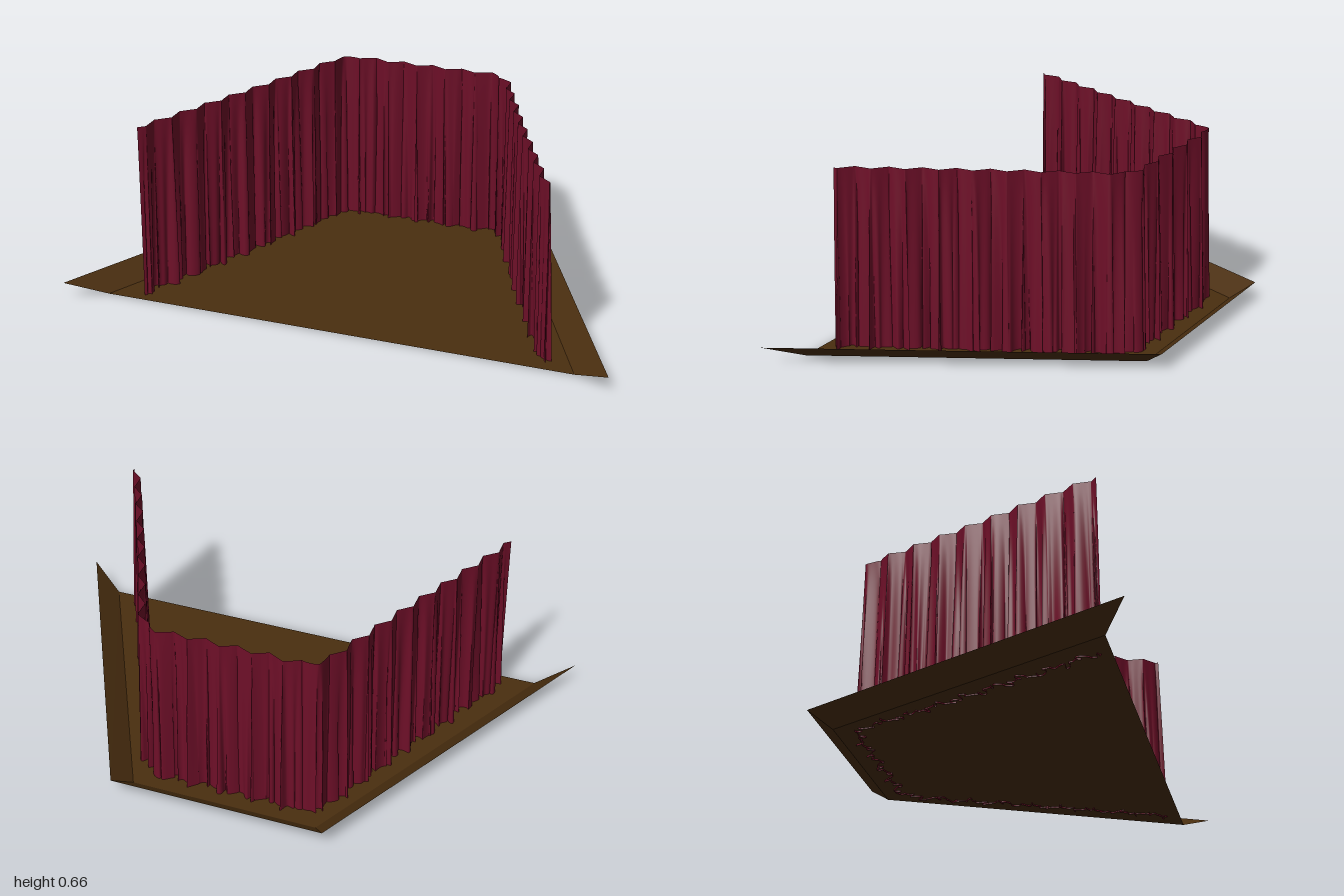
import * as THREE from 'three';

const wood = new THREE.MeshStandardMaterial({ color: 0x4a2e0f, side: THREE.DoubleSide, flatShading: true });
wood.name = 'dark wood';
const velvet = new THREE.MeshStandardMaterial({ color: 0x6e0f28, side: THREE.DoubleSide });
velvet.name = 'crimson velvet';

// Flat sheet with four corners, counter-clockwise seen from its front
function quad(name, a, b, c, d) {
  const geometry = new THREE.BufferGeometry();
  geometry.setAttribute('position', new THREE.Float32BufferAttribute([a, b, c, d].flat(), 3));
  geometry.setIndex([0, 1, 2, 0, 2, 3]);
  geometry.computeVertexNormals();
  const mesh = new THREE.Mesh(geometry, wood);
  mesh.name = name;
  return mesh;
}

// Curtain: a sheet following a three-sided path, its pleats growing finer and deeper downwards
function makeCurtain() {
  const height = 0.655, base = 0.005, columns = 720, rows = 16;
  const v = (x, z) => new THREE.Vector3(x, 0, z);
  const path = new THREE.CatmullRomCurve3([
    v(-0.735, 0.48), v(-0.62, 0.23), v(-0.5, -0.03), v(-0.39, -0.28), v(-0.335, -0.4), v(-0.285, -0.445),
    v(-0.1, -0.45), v(0.1, -0.45),
    v(0.285, -0.445), v(0.335, -0.4), v(0.39, -0.28), v(0.5, -0.03), v(0.62, 0.23), v(0.735, 0.47),
  ], false, 'centripetal');
  path.arcLengthDivisions = 600;
  const length = path.getLength();

  const geometry = new THREE.PlaneGeometry(1, 1, columns, rows);
  const position = geometry.attributes.position;
  for (let i = 0; i <= columns; i++) {
    const u = i / columns, s = u * length;
    const p = path.getPointAt(u), t = path.getTangentAt(u);
    const wave = s * Math.PI * 2 / 0.115;
    for (let j = 0; j <= rows; j++) {
      const drop = j / rows;
      const fall = Math.pow(drop, 0.8);
      // broad pleats, then small irregular folds
      const out = 0.013 * Math.sin(wave) + fall * (
        0.009 * Math.sin(s * 131 + 1.3 + drop * 0.8) + 0.007 * Math.sin(s * 223 + 2 * Math.sin(s * 17)));
      const along = 0.006 * Math.sin(2 * wave) + fall * (
        0.007 * Math.sin(s * 181 + 0.7) + 0.004 * Math.sin(s * 263 + drop));
      const flare = 1 + 0.02 * drop;
      position.setXYZ(j * (columns + 1) + i,
        (p.x + t.x * along - t.z * out) * flare,
        base + height * (1 - drop),
        (p.z + t.z * along + t.x * out) * flare);
    }
  }
  geometry.computeVertexNormals();
  const curtain = new THREE.Mesh(geometry, velvet);
  curtain.name = 'curtain';
  return curtain;
}

export function createModel() {
  const model = new THREE.Group();
  model.name = 'curtainedStage';

  // Trapezoid floor and the outward-leaning rims on its back and sides
  const low = 0.01, high = 0.07;
  const floor = [[-0.865, low, 0.52], [0.865, low, 0.52], [0.345, low, -0.53], [-0.345, low, -0.53]];
  const rim = [[-1, high, 0.605], [1, high, 0.605], [0.395, high, -0.61], [-0.395, high, -0.61]];
  model.add(quad('stageFloor', ...floor));
  ['leftRim', 'backRim', 'rightRim'].forEach((name, k) => {
    const a = k + 1, b = (k + 2) % 4;
    model.add(quad(name, floor[a], rim[a], rim[b], floor[b]));
  });

  model.add(makeCurtain());
  return model;
}
